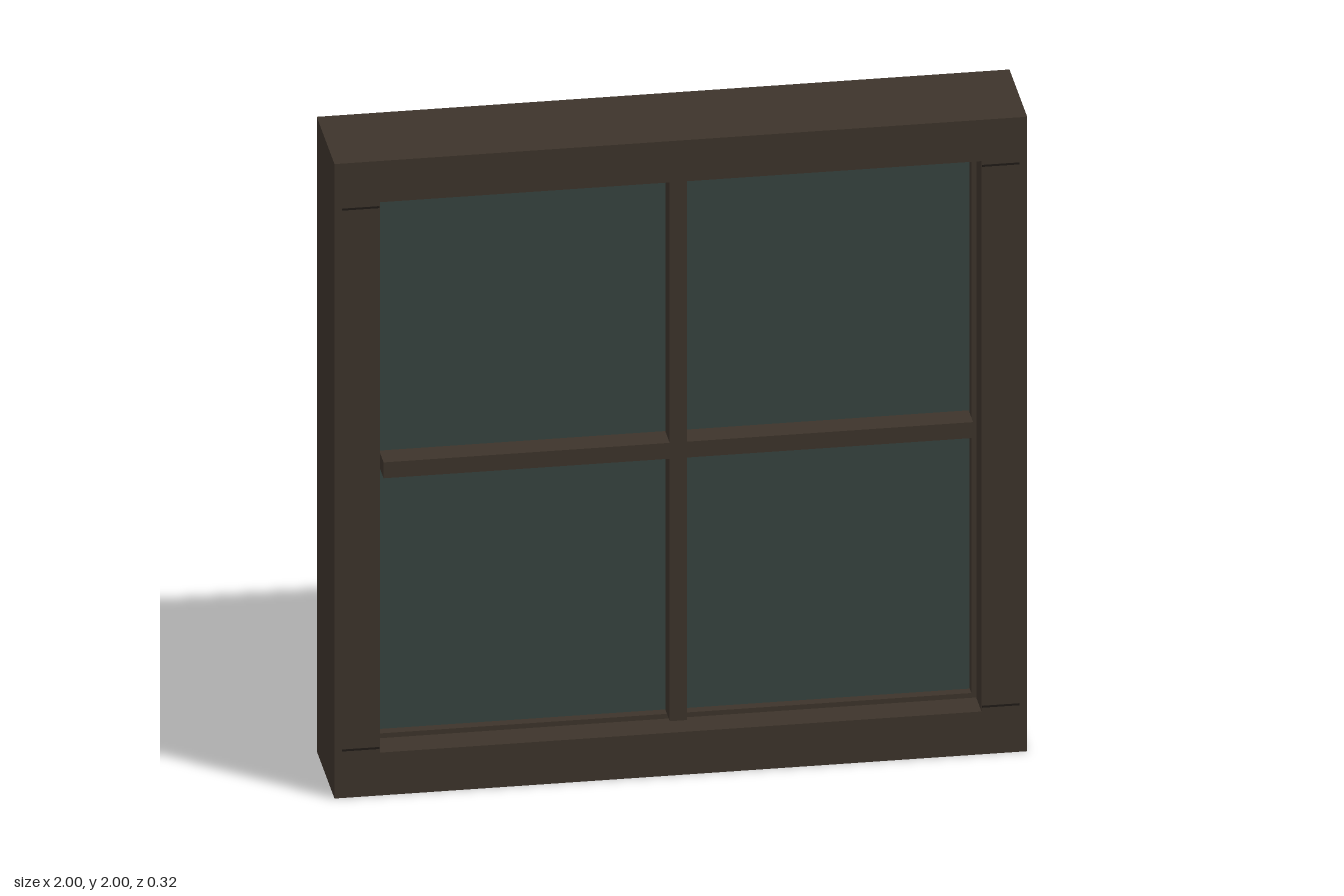
import * as THREE from 'three';

const wood = new THREE.MeshStandardMaterial({ color: 0x3d342b });
const jointDark = new THREE.MeshStandardMaterial({ color: 0x1f1a16 });
const glass = new THREE.MeshStandardMaterial({ color: 0x37433f });

const MID = 1.0025; // height of the opening's centre

function box(name, w, h, d, x, y, z, material = wood) {
  const mesh = new THREE.Mesh(new THREE.BoxGeometry(w, h, d), material);
  mesh.name = name;
  mesh.position.set(x, y, z);
  return mesh;
}

// Rectangular ring, centred in depth: bounds are [x half width, bottom, top]
function ring(name, [ow, ob, ot], [iw, ib, it], depth) {
  const rect = (Type, w, b, t) => {
    const p = new Type();
    p.moveTo(-w, b).lineTo(w, b).lineTo(w, t).lineTo(-w, t).closePath();
    return p;
  };
  const shape = rect(THREE.Shape, ow, ob, ot);
  shape.holes.push(rect(THREE.Path, iw, ib, it));
  const geometry = new THREE.ExtrudeGeometry(shape, { depth, bevelEnabled: false });
  geometry.translate(0, 0, -depth / 2);
  const mesh = new THREE.Mesh(geometry, wood);
  mesh.name = name;
  return mesh;
}

export function createModel() {
  const model = new THREE.Group();
  model.name = 'window';

  // Outer frame and the thin bead that holds the glass
  model.add(ring('outerFrame', [1, 0, 2], [0.868, 0.135, 1.87], 0.32));
  model.add(ring('glazingBead', [0.868, 0.135, 1.87], [0.854, 0.15, 1.855], 0.13));

  // Glass pane
  model.add(box('glassPane', 1.708, 1.705, 0.07, 0, MID, 0, glass));

  // Crossing glazing bars, flush with each other on both faces
  model.add(box('verticalBar', 0.05, 1.705, 0.23, 0, MID, 0));
  for (const side of [-1, 1]) {
    model.add(box('horizontalBar', 0.826, 0.05, 0.23, side * 0.438, MID, 0));
  }

  // Joint lines between stiles and rails, front and back
  for (const x of [-0.924, 0.924]) {
    for (const y of [0.15, 1.855]) {
      for (const z of [-0.16, 0.16]) {
        model.add(box('jointLine', 0.108, 0.006, 0.002, x, y, z, jointDark));
      }
    }
  }

  return model;
}
